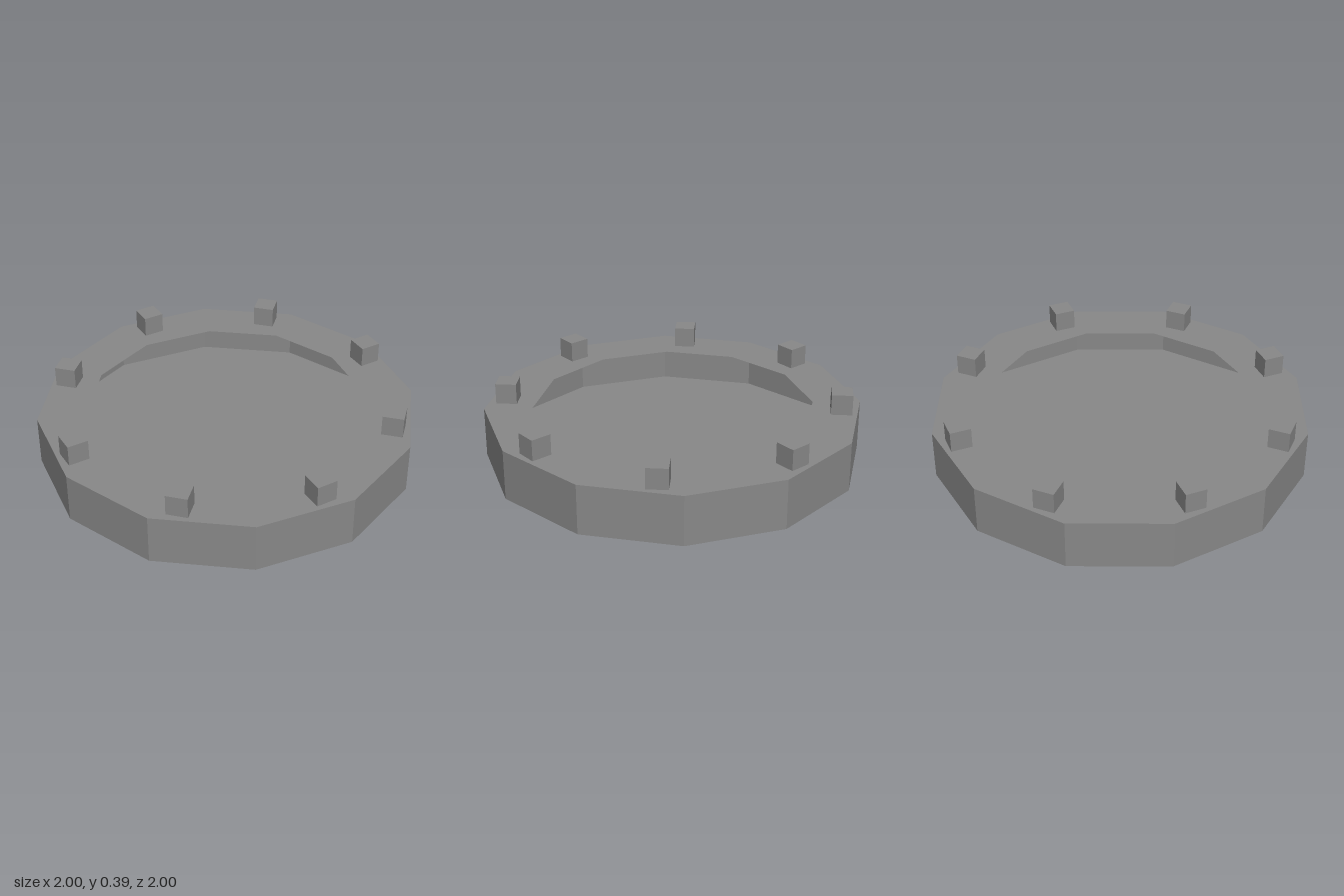
import * as THREE from 'three';

export function createModel() {
  const group = new THREE.Group();
  const grey = new THREE.MeshStandardMaterial({ color: 0x888888, flatShading: true, side: THREE.DoubleSide });
  grey.name = 'stoneGrey';

  const add = (name, geometry, parent = group) => {
    const mesh = new THREE.Mesh(geometry, grey);
    mesh.name = name;
    parent.add(mesh);
    return mesh;
  };

  // Twelve-sided hollow shell with flat sides facing front, back, left and right
  const sides = 12, height = 0.277, step = Math.PI / sides;
  const outerRadius = 1 / Math.cos(step), innerRadius = 0.745 / Math.cos(step);

  const wall = new THREE.CylinderGeometry(outerRadius, outerRadius, height, sides, 1, true);
  add('outerWall', wall.rotateY(step).translate(0, height / 2, 0));

  const floor = new THREE.CircleGeometry(outerRadius, sides, step);
  add('floor', floor.rotateX(Math.PI / 2));

  const rim = new THREE.RingGeometry(innerRadius, outerRadius, sides, 1, step);
  add('topRim', rim.rotateX(-Math.PI / 2).translate(0, height, 0));

  // Eight cubes around the rim, each turned to face outwards
  const cubeSize = 0.115;
  const cubes = new THREE.Group();
  cubes.name = 'rimCubes';
  group.add(cubes);
  const cube = new THREE.BoxGeometry(cubeSize, cubeSize, cubeSize).translate(0, height + cubeSize / 2, 0.917);
  for (let i = 0; i < 8; i++) {
    add('rimCube', cube, cubes).rotation.y = (i + 0.5) * Math.PI / 4;
  }
  return group;
}
